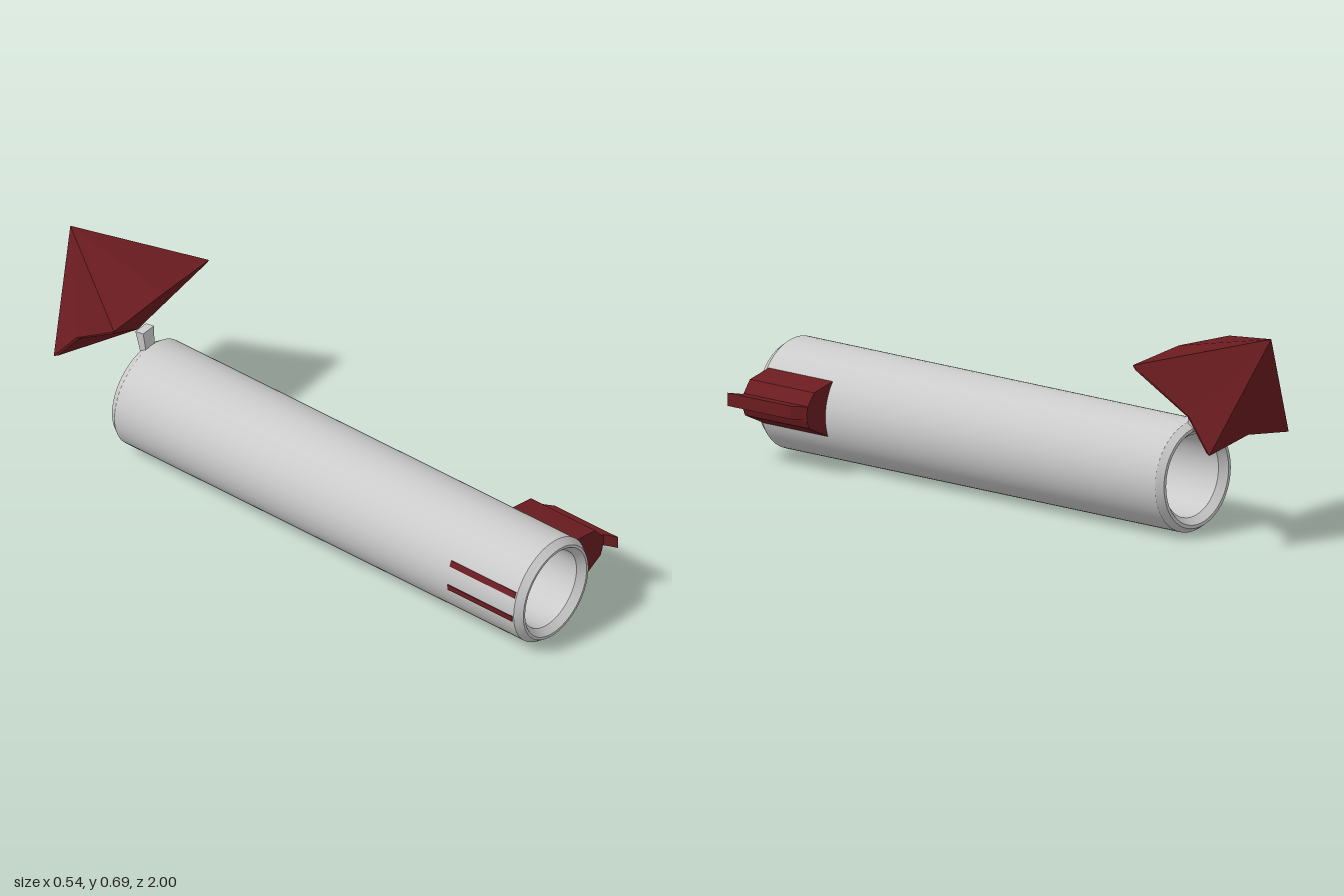
import * as THREE from 'three';
import { toCreasedNormals } from 'three/addons/utils/BufferGeometryUtils.js';

const CX = -0.028, CY = 0.187; // tube axis
const grey = new THREE.MeshStandardMaterial({ color: 0xcccccc });
const red = new THREE.MeshStandardMaterial({ color: 0x6b1c20, flatShading: true });
const v2 = (list) => list.map(([x, y]) => new THREE.Vector2(x, y));

function add(parent, name, geometry, material) {
  const mesh = new THREE.Mesh(geometry, material);
  mesh.name = name;
  parent.add(mesh);
  return mesh;
}

const extrude = (points, depth) =>
  new THREE.ExtrudeGeometry(new THREE.Shape(v2(points)), { depth, bevelEnabled: false });

// Hollow barrel with chamfered ends
function tubeGeometry() {
  const profile = v2([
    [0.135, 0.96], [0.135, -0.67], [0.155, -0.695], [0.166, -0.695], [0.182, -0.672],
    [0.182, 0.96], [0.164, 0.985], [0.155, 0.985], [0.135, 0.96],
  ]);
  const g = new THREE.LatheGeometry(profile, 56);
  g.rotateX(Math.PI / 2);
  return toCreasedNormals(g, 0.3);
}

// Faceted umbrella-like head: apex, rim, lower rim, hub
function headGeometry() {
  const apex = new THREE.Vector3(0, 0.692, -1.0);
  const hub = new THREE.Vector3(0, 0.41, -0.725);
  const half = [[0.24, 0.592, -0.627], [0.191, 0.445, -0.82], [0.197, 0.333, -0.908]];
  const rim = [
    [0, 0.607, -0.618], ...half, [0, 0.362, -0.905],
    ...half.map(([x, y, z]) => [-x, y, z]).reverse(),
  ].map((p) => new THREE.Vector3(...p));
  const lip = rim.map((p) => {
    const q = p.clone().lerp(hub, 0.08);
    q.x = p.x * 0.985;
    return q;
  });
  const neck = rim.map((p) => p.clone().lerp(hub, 0.88));
  const tris = [];
  const rings = [rim, lip, neck];
  for (let i = 0; i < rim.length; i++) {
    const j = (i + 1) % rim.length;
    tris.push(apex, rim[i], rim[j]);
    for (let k = 0; k < 2; k++) {
      const [u, l] = [rings[k], rings[k + 1]];
      tris.push(u[i], l[i], l[j], u[i], l[j], u[j]);
    }
    tris.push(neck[i], hub, neck[j]);
  }
  const g = new THREE.BufferGeometry().setFromPoints(tris);
  g.computeVertexNormals();
  return g;
}

export function createModel() {
  const model = new THREE.Group();
  model.name = 'tubeWithHead';

  add(model, 'tube', tubeGeometry(), grey).position.set(CX, CY, 0);

  // Head on its short flared stem
  add(model, 'head', headGeometry(), red).position.x = CX;
  const stemGeo = new THREE.CylinderGeometry(0.038, 0.029, 0.085, 4);
  stemGeo.rotateY(Math.PI / 4);
  stemGeo.scale(1, 1, 0.6);
  const stemMat = grey.clone();
  stemMat.flatShading = true;
  const stem = add(model, 'stem', stemGeo, stemMat);
  stem.position.set(CX, 0.385, -0.69);
  stem.rotation.x = -0.15;

  // Side block hugging the tube wall
  const block = extrude([
    [0.118, 0.14], [0.14, 0.12], [0.235, 0.165], [0.245, 0.19], [0.247, 0.215],
    [0.24, 0.24], [0.21, 0.278], [0.115, 0.297], [0.1, 0.27], [0.125, 0.21],
  ], 0.265);
  add(model, 'sideBlock', block, red).position.z = 0.69;

  // Pointed rail along the block
  const rail = extrude([
    [0.23, 0.69], [0.243, 0.69], [0.268, 0.74], [0.268, 1.0], [0.25, 0.955], [0.23, 0.955],
  ], 0.043);
  rail.rotateX(Math.PI / 2);
  add(model, 'sideRail', rail, red).position.y = 0.238;

  // Two thin inlays on the opposite wall
  for (const a of [0.412, -0.066]) {
    const strip = add(model, 'inlayStrip', new THREE.BoxGeometry(0.03, 0.021, 0.265), red);
    strip.position.set(CX - 0.169 * Math.cos(a), CY + 0.169 * Math.sin(a), 0.8225);
    strip.rotation.z = -a;
  }
  return model;
}
